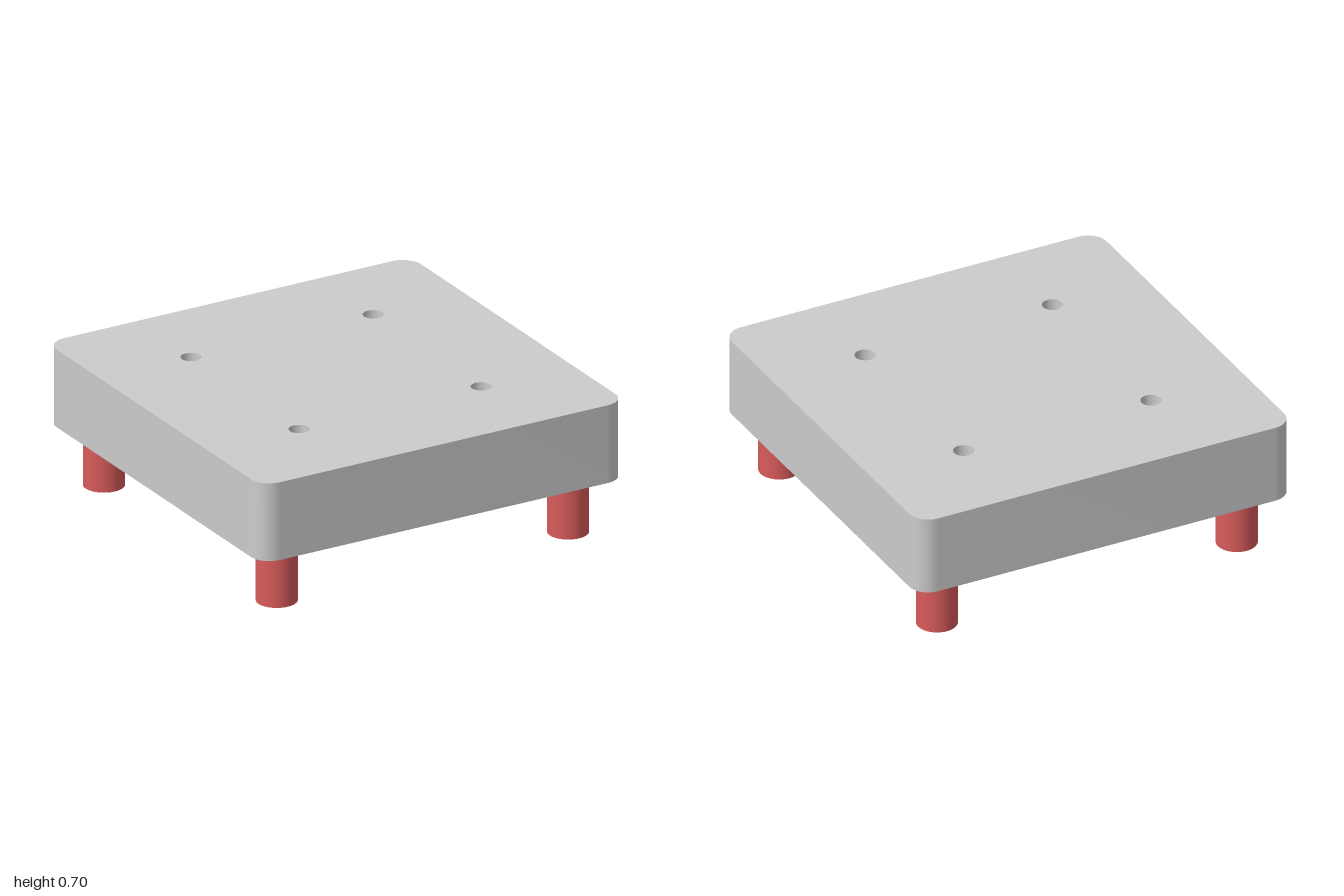
import * as THREE from 'three';
import { toCreasedNormals } from 'three/addons/utils/BufferGeometryUtils.js';

const HALF = 1, CORNER = 0.1;
const LEG_HEIGHT = 0.3, LEG_RADIUS = 0.1, LEG_OFFSET = 0.8;
const PLATE_HEIGHT = 0.4, HOLE_RADIUS = 0.05, HOLE_OFFSET = 0.5;

// The four (x, z) positions of a square pattern
const fourCorners = (d) => [[d, d], [-d, d], [-d, -d], [d, -d]];

// Rounded square slab with four through holes
function plateGeometry() {
  const shape = new THREE.Shape();
  const c = HALF - CORNER;
  fourCorners(c).forEach(([x, y], i) => {
    const start = i * Math.PI / 2;
    shape.absarc(x, y, CORNER, start, start + Math.PI / 2, false);
  });
  shape.closePath();
  for (const [x, y] of fourCorners(HOLE_OFFSET)) {
    const hole = new THREE.Path();
    hole.absarc(x, y, HOLE_RADIUS, 0, Math.PI * 2, true);
    shape.holes.push(hole);
  }
  const geometry = new THREE.ExtrudeGeometry(shape, {
    depth: PLATE_HEIGHT, bevelEnabled: false, curveSegments: 16,
  });
  geometry.rotateX(-Math.PI / 2);
  return toCreasedNormals(geometry, Math.PI / 5);
}

export function createModel() {
  const model = new THREE.Group();
  model.name = 'plateOnLegs';
  const grey = new THREE.MeshStandardMaterial({ color: 0xcccccc });
  const red = new THREE.MeshStandardMaterial({ color: 0xd95b5b });

  // Plate
  const plate = new THREE.Mesh(plateGeometry(), grey);
  plate.name = 'plate';
  plate.position.y = LEG_HEIGHT;
  model.add(plate);

  // Legs
  const legGeometry = new THREE.CylinderGeometry(LEG_RADIUS, LEG_RADIUS, LEG_HEIGHT, 48);
  for (const [x, z] of fourCorners(LEG_OFFSET)) {
    const leg = new THREE.Mesh(legGeometry, red);
    leg.name = (z > 0 ? 'front' : 'back') + (x > 0 ? 'Left' : 'Right') + 'Leg';
    leg.position.set(x, LEG_HEIGHT / 2, z);
    model.add(leg);
  }
  return model;
}
